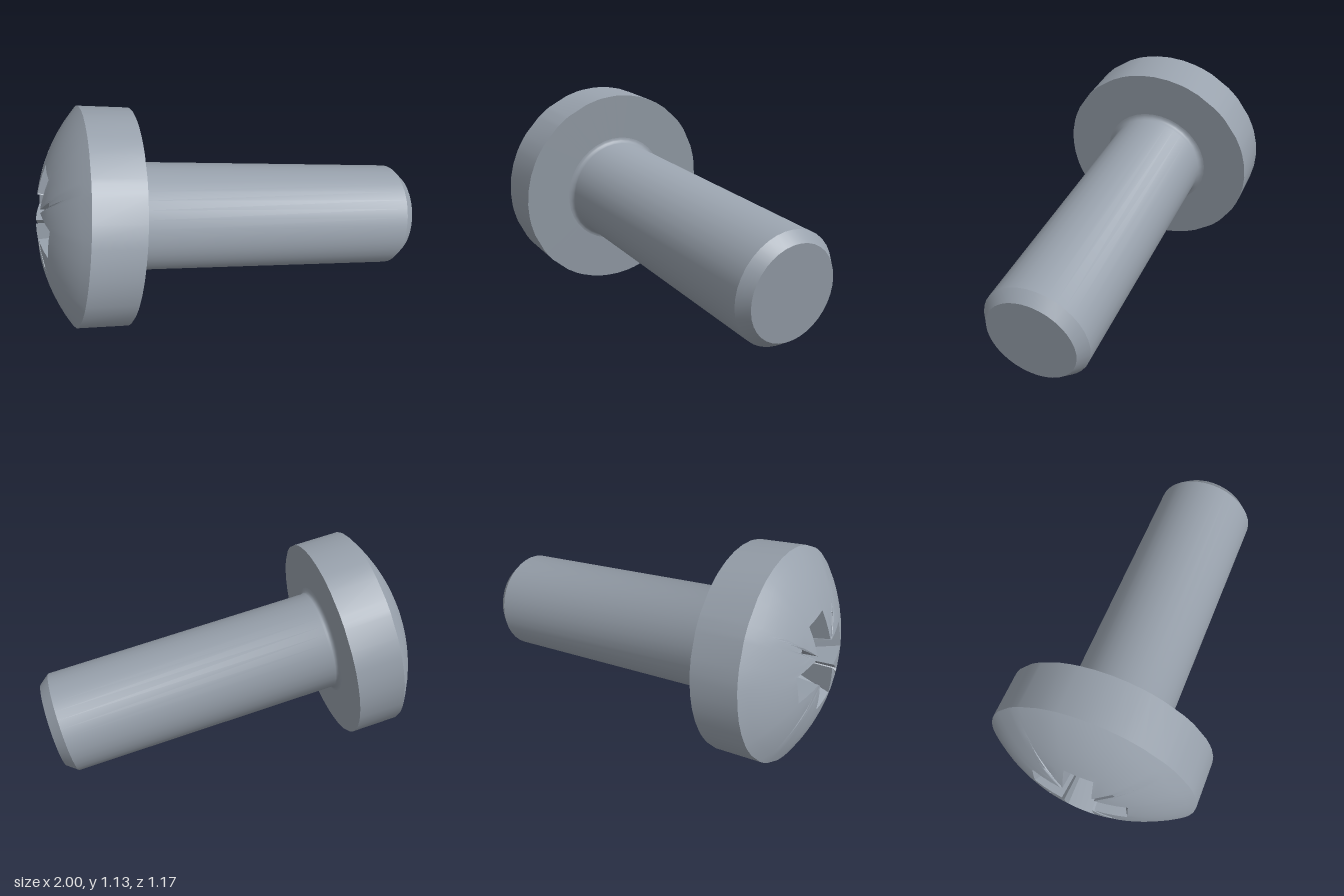
import * as THREE from 'three';
import { toCreasedNormals } from 'three/addons/utils/BufferGeometryUtils.js';

const HEAD_R = 0.55, RIM_H = 0.25, DOME_R = 0.91, SHAFT_R = 0.275, LENGTH = 1.545;

const domeY = (r) =>
  RIM_H + Math.sqrt(DOME_R ** 2 - r * r) - Math.sqrt(DOME_R ** 2 - HEAD_R ** 2);

// Cross-shaped drive outline with a thin diagonal notch between the wings
function driveOutline(reach, half, notch, notchReach) {
  const s = notch * Math.SQRT1_2, t = notchReach * Math.SQRT1_2;
  const corners = [
    [reach, -half, 4], [reach, half, 3], [half + 2 * s, half, 1],
    [t + s, t - s, 1], [t - s, t + s, 1], [half, half + 2 * s, 3],
  ];
  const all = [];
  for (let q = 0; q < 4; q++) {
    const c = Math.round(Math.cos(q * Math.PI / 2)), n = Math.round(Math.sin(q * Math.PI / 2));
    for (const [x, z, k] of corners) all.push([x * c - z * n, x * n + z * c, k]);
  }
  const points = [];
  all.forEach(([x, z, k], i) => {
    const [x2, z2] = all[(i + 1) % all.length];
    for (let j = 0; j < k; j++) points.push([x + (x2 - x) * j / k, z + (z2 - z) * j / k]);
  });
  return points;
}

// Skin a list of closed loops, ordered from the drive outward and down
function skin(loops) {
  const n = loops[0].length, index = [];
  for (let i = 0; i < loops.length - 1; i++) {
    for (let j = 0; j < n; j++) {
      const a = i * n + j, b = i * n + (j + 1) % n;
      index.push(a, b, a + n, b, b + n, a + n);
    }
  }
  const geometry = new THREE.BufferGeometry();
  geometry.setAttribute('position', new THREE.Float32BufferAttribute(loops.flat(2), 3));
  geometry.setIndex(index);
  return toCreasedNormals(geometry, 0.5);
}

function headGeometry() {
  const outline = driveOutline(0.25, 0.075, 0.009, 0.25);
  const floor = driveOutline(0.14, 0.06, 0.004, 0.12);
  const angles = outline.map(([x, z]) => Math.atan2(z, x));
  const circle = (r, y) => angles.map((a) => [r * Math.cos(a), y, r * Math.sin(a)]);
  // Recess floor and tapered walls
  const loops = [circle(0.001, 0.17), floor.map(([x, z]) => [x, 0.21, z])];
  // Dome from the recess edge to the rim
  const steps = 7;
  for (let i = 0; i <= steps; i++) {
    loops.push(outline.map(([x, z], j) => {
      const r = THREE.MathUtils.lerp(Math.hypot(x, z), HEAD_R, i / steps);
      return [r * Math.cos(angles[j]), domeY(r), r * Math.sin(angles[j])];
    }));
  }
  // Rim and underside
  loops.push(circle(HEAD_R, 0), circle(0.2, 0));
  return skin(loops);
}

function shaftGeometry() {
  const fillet = 0.03;
  const profile = [[0, -LENGTH], [0.232, -LENGTH], [SHAFT_R, -LENGTH + 0.055], [SHAFT_R, -fillet]];
  for (let i = 1; i <= 5; i++) {
    const a = i * Math.PI / 10;
    profile.push([SHAFT_R + fillet * (1 - Math.cos(a)), -fillet + fillet * Math.sin(a)]);
  }
  const lathe = new THREE.LatheGeometry(profile.map(([x, y]) => new THREE.Vector2(x, y)), 36);
  return toCreasedNormals(lathe, 0.5);
}

export function createModel() {
  const steel = new THREE.MeshStandardMaterial({ color: 0x98a1ac });
  steel.name = 'steel grey';

  const head = new THREE.Mesh(headGeometry(), steel);
  head.name = 'domedHead';
  head.rotation.y = 0.05;
  const shaft = new THREE.Mesh(shaftGeometry(), steel);
  shaft.name = 'shaft';

  // Tilt the screw so its head points left, slightly up and back
  const screw = new THREE.Group();
  screw.name = 'screw';
  screw.add(head, shaft);
  const axis = new THREE.Vector3(-0.961, 0.183, -0.207).normalize();
  const side = new THREE.Vector3(axis.z, 0, -axis.x).normalize();
  const third = new THREE.Vector3().crossVectors(side, axis);
  screw.quaternion.setFromRotationMatrix(new THREE.Matrix4().makeBasis(side, axis, third));
  screw.position.set(-0.548, 0.546, 0.005);

  const model = new THREE.Group();
  model.name = 'machineScrew';
  model.add(screw);
  return model;
}
